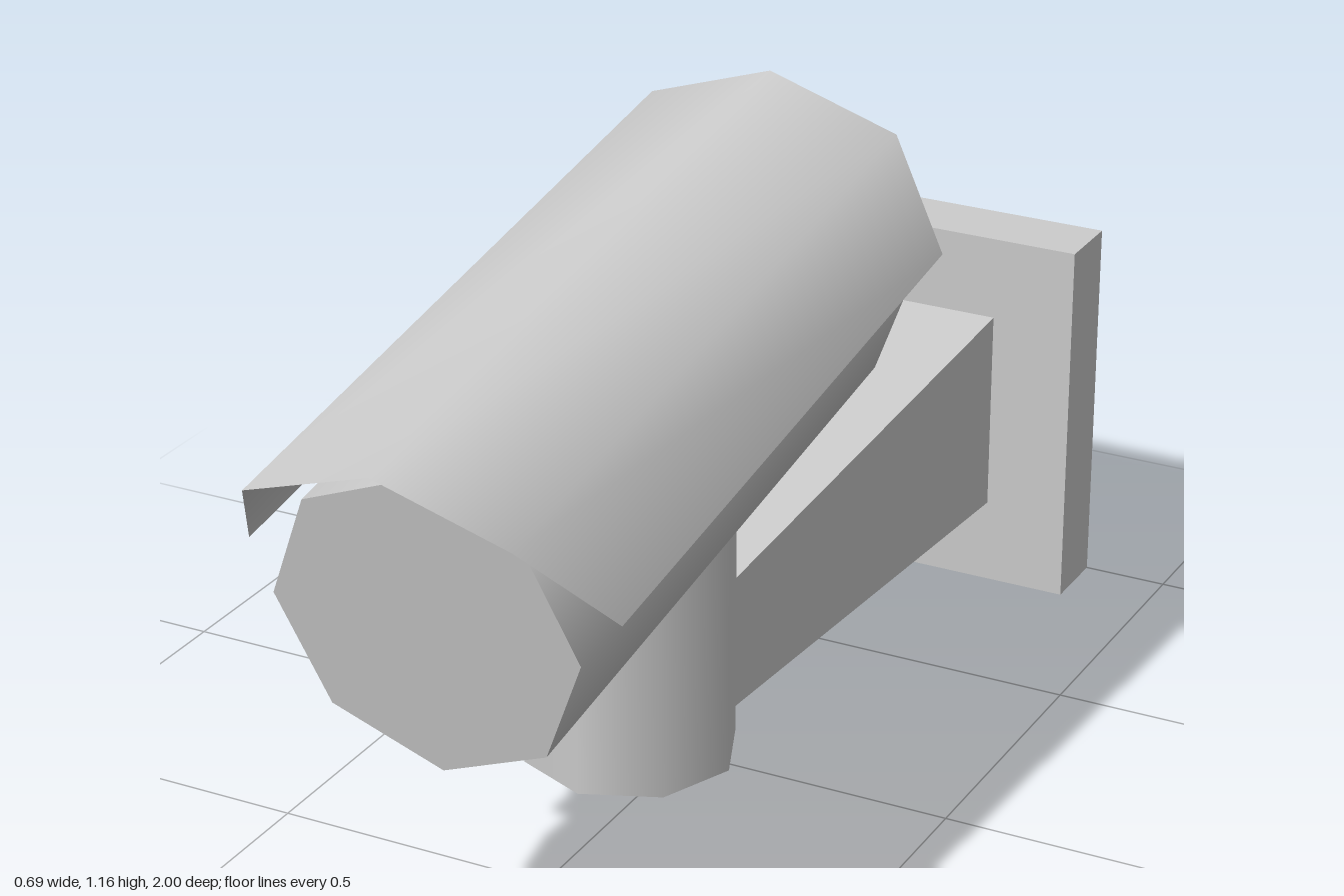
import * as THREE from 'three';

const material = new THREE.MeshStandardMaterial({ color: 0xcccccc });
const thinMaterial = new THREE.MeshStandardMaterial({ color: 0xcccccc, side: THREE.DoubleSide });

// Skin a sequence of cross-sections; points run counter-clockwise seen from the front.
function loft(rings, closed, flat) {
  const n = rings[0].length;
  const index = [];
  for (let r = 0; r < rings.length - 1; r++) {
    for (let i = 0; i < (closed ? n : n - 1); i++) {
      const a = r * n + i, b = r * n + (i + 1) % n;
      index.push(a, a + n, b, b, a + n, b + n);
    }
  }
  let geometry = new THREE.BufferGeometry();
  geometry.setAttribute('position', new THREE.Float32BufferAttribute(rings.flat(2), 3));
  geometry.setIndex(index);
  if (flat) geometry = geometry.toNonIndexed();
  geometry.computeVertexNormals();
  return geometry;
}

// Rectangle centred on x
const rect = (w, y0, y1, z) => [[w, y0, z], [w, y1, z], [-w, y1, z], [-w, y0, z]];

// Half outline of the hood mirrored into an arch
const arch = (half) => [...half, ...half.slice(0, -1).reverse().map(([x, y, z]) => [-x, y, z])];

export function createModel() {
  const group = new THREE.Group();
  const add = (name, geometry, mat) => {
    const mesh = new THREE.Mesh(geometry, mat);
    mesh.name = name;
    group.add(mesh);
    return mesh;
  };

  // Octagonal camera housing, nose tilted down
  const body = add('cameraBody', new THREE.CylinderGeometry(0.271, 0.271, 1.186, 8).rotateX(Math.PI / 2), material);
  body.position.set(0, 0.73, 0.27);
  body.rotation.x = 0.165;

  // Thin sun hood over the housing, its front edge swept back at the sides
  const front = arch([[0.328, 0.703, 0.83], [0.232, 0.869, 0.985], [0, 0.946, 1]]);
  const back = arch([[0.328, 0.887, -0.313], [0.232, 1.081, -0.326], [0, 1.16, -0.315]]);
  add('sunHood', loft([front, back], false, false), thinMaterial);

  // Upright post under the housing
  const post = add('post', new THREE.CylinderGeometry(0.187, 0.187, 0.52, 8), material);
  post.position.set(0, 0.37, 0.197);

  // Hollow arm widening towards the wall
  const armBase = rect(0.19, 0.158, 0.535, -0.87);
  add('arm', loft([rect(0.124, 0.147, 0.39, 0.06), armBase], true, true), thinMaterial);

  // Wall plate: a shallow tray open at the back, with a hole into the arm
  add('wallPlate', loft([armBase, rect(0.345, 0, 0.69, -0.87), rect(0.345, 0, 0.69, -1)], true, true), thinMaterial);

  return group;
}
